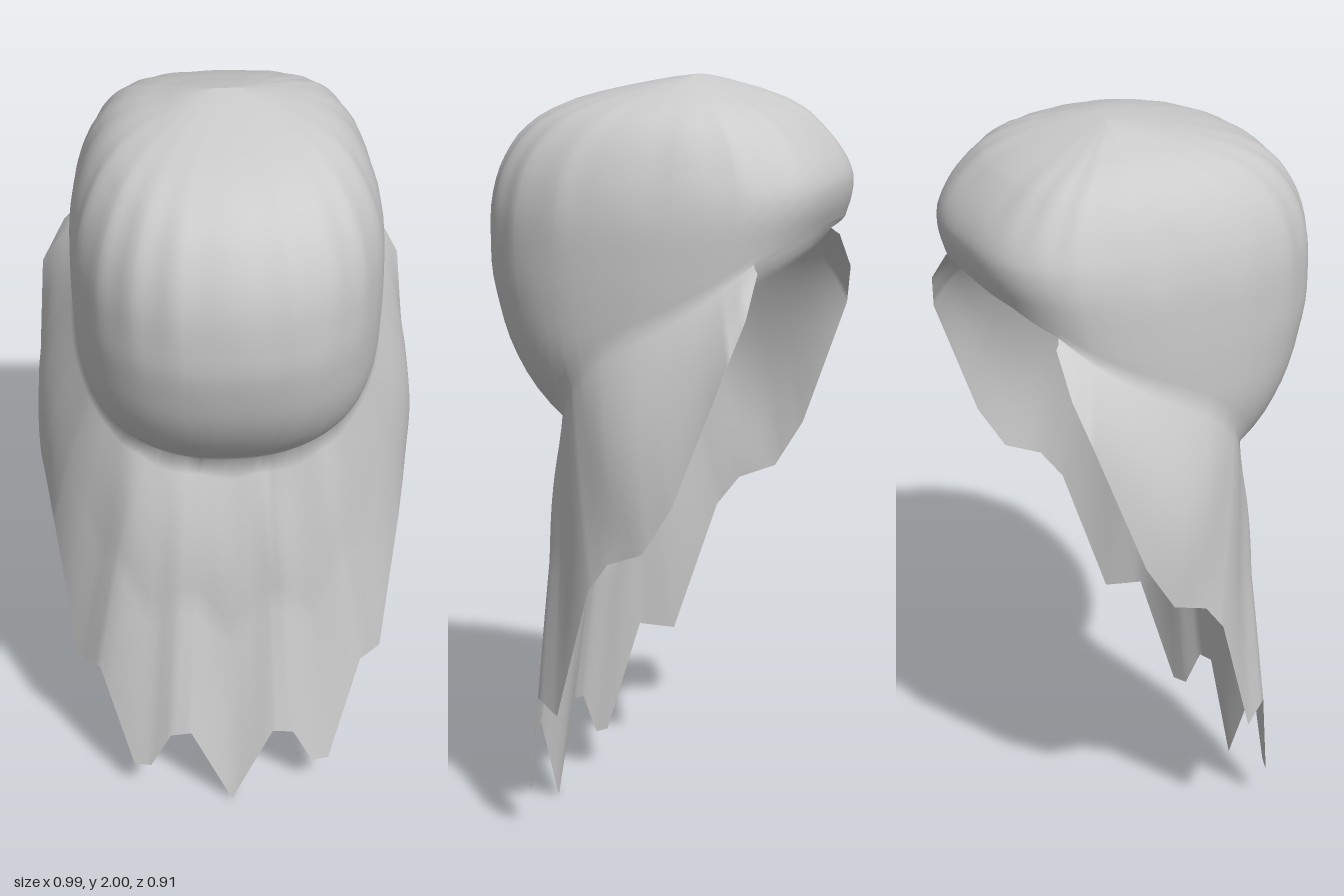
import * as THREE from 'three';

const cloth = new THREE.MeshStandardMaterial({ color: 0xcccccc, side: THREE.DoubleSide });
cloth.name = 'pale cloth';

const { clamp, degToRad, smoothstep } = THREE.MathUtils;

// linear lookup in rows of [key, v1, v2, ...]
function lookup(table, key) {
  const up = table[table.length - 1][0] > table[0][0] ? 1 : -1;
  let i = 0;
  while (i < table.length - 2 && (key - table[i + 1][0]) * up > 0) i++;
  const a = table[i], b = table[i + 1];
  const t = clamp((key - a[0]) / (b[0] - a[0]), 0, 1);
  return a.slice(1).map((v, k) => v + (b[k + 1] - v) * t);
}

// crown sections: height, front z, back z, half width
const sections = [
  [2, -0.07, -0.07, 0.03], [1.985, 0.04, -0.13, 0.13], [1.96, 0.16, -0.22, 0.215],
  [1.93, 0.27, -0.3, 0.27], [1.87, 0.365, -0.375, 0.327], [1.78, 0.425, -0.447, 0.368],
  [1.71, 0.448, -0.458, 0.385], [1.65, 0.458, -0.435, 0.392], [1.5, 0.458, -0.39, 0.392],
  [1.35, 0.417, -0.32, 0.385], [1.28, 0.385, -0.28, 0.373], [1.2, 0.335, -0.25, 0.347],
  [1.12, 0.26, -0.2, 0.295], [1.07, 0.2, -0.18, 0.23],
];
// rim height by angle from the front
const rim = [
  [0, 1.07], [20, 1.08], [38, 1.115], [62, 1.18], [76, 1.265], [92, 1.38],
  [115, 1.48], [138, 1.58], [160, 1.635], [180, 1.645],
];

// section at a height, averaged over a short span to round the profile
function sectionAt(y) {
  const h = Math.min(0.03, 2 - y, y - 1.07);
  const [a, b, c] = [y - h, y, y + h].map((v) => lookup(sections, v));
  return b.map((v, k) => (a[k] + v + c[k]) / 3);
}

function crownPoint(deg, u) {
  const a = degToRad(deg);
  const y = 2 - (2 - lookup(rim, Math.abs(deg))[0]) * Math.pow(u, 1.6);
  const [front, back, half] = sectionAt(y);
  const mid = -0.07 * clamp((y - 1.8) / 0.2, 0, 1);
  // softly boxy in front, squarer at the back
  const power = 0.85 - 0.17 * smoothstep(Math.abs(deg), 80, 130);
  const round = (v) => Math.sign(v) * Math.pow(Math.abs(v), power);
  const s = round(Math.sin(a)), c = round(Math.cos(a));
  // slight gathers around the top
  const gather = 1 + 0.008 * Math.cos(a * 20) * Math.sin(Math.PI * Math.min(1, u * 1.4));
  return new THREE.Vector3(s * half * gather, y, mid + c * (c > 0 ? front - mid : mid - back) * gather);
}

// ragged hem: column number, rim angle, x, y, z
const hem = [
  [0, 0, 0, 0.005, 0.33], [1, 15, 0.11, 0.25, 0.33], [2, 22, 0.165, 0.24, 0.325],
  [3, 30, 0.22, 0.12, 0.31], [4, 36, 0.265, 0.115, 0.295], [5, 46, 0.35, 0.41, 0.23],
  [6, 55, 0.41, 0.39, 0.15], [7, 72, 0.46, 0.75, 0.04], [8, 80, 0.475, 0.83, -0.02],
  [9, 95, 0.492, 0.87, -0.12], [10, 105, 0.492, 1.0, -0.2], [11, 124, 0.47, 1.35, -0.33],
  [12, 131, 0.41, 1.46, -0.358], [13, 138, 0.32, 1.56, -0.355],
];

// points of the crown from the top down to the rim
const crownColumn = (deg) => Array.from({ length: 31 }, (_, r) => crownPoint(deg, r / 30));

// crown column continued below the rim by the hanging drape
function drapedColumn(k, rows = 20) {
  const side = Math.sign(k);
  const [deg, x, y, z] = lookup(hem, Math.abs(k));
  const points = crownColumn(side * deg);
  const top = points[30], length = top.y - y;
  const flare = 0.08 * length * smoothstep(deg, 60, 100);
  const forward = 0.02 * Math.max(0, Math.cos(degToRad(deg * 1.3)));
  for (let r = 1; r <= rows; r++) {
    const t = r / rows, belly = Math.sin(Math.PI * t);
    const fold = 0.004 * Math.cos(deg * 0.28) * belly;
    const swell = forward * Math.max(0, Math.sin(2 * Math.PI * t));
    points.push(new THREE.Vector3(
      top.x + (side * x - top.x) * t + side * belly * flare,
      top.y - length * t,
      top.z + (z - top.z) * t + fold + swell));
  }
  return points;
}

// smooth surface around a ring of columns; neighbours join down to the shorter one
function ringGeometry(columns) {
  const index = [], starts = [];
  let total = 0;
  for (const column of columns) {
    starts.push(total);
    total += column.length;
  }
  columns.forEach((column, c) => {
    const next = (c + 1) % columns.length;
    const rows = Math.min(column.length, columns[next].length);
    for (let r = 0; r < rows - 1; r++) {
      const p = starts[c] + r, q = starts[next] + r;
      index.push(p, p + 1, q, q, p + 1, q + 1);
    }
  });
  const geo = new THREE.BufferGeometry().setFromPoints(columns.flat());
  geo.setIndex(index);
  geo.computeVertexNormals();
  return geo;
}

export function createModel() {
  const model = new THREE.Group();
  model.name = 'hood';

  // front and sides carry the drape, the back ends at the open rim
  const columns = [];
  for (let i = -52; i <= 52; i++) columns.push(drapedColumn(i / 4));
  for (let d = 141; d <= 219; d += 3) columns.push(crownColumn(d > 180 ? d - 360 : d));

  const shell = new THREE.Mesh(ringGeometry(columns), cloth);
  shell.name = 'crownWithDrape';
  model.add(shell);
  return model;
}
